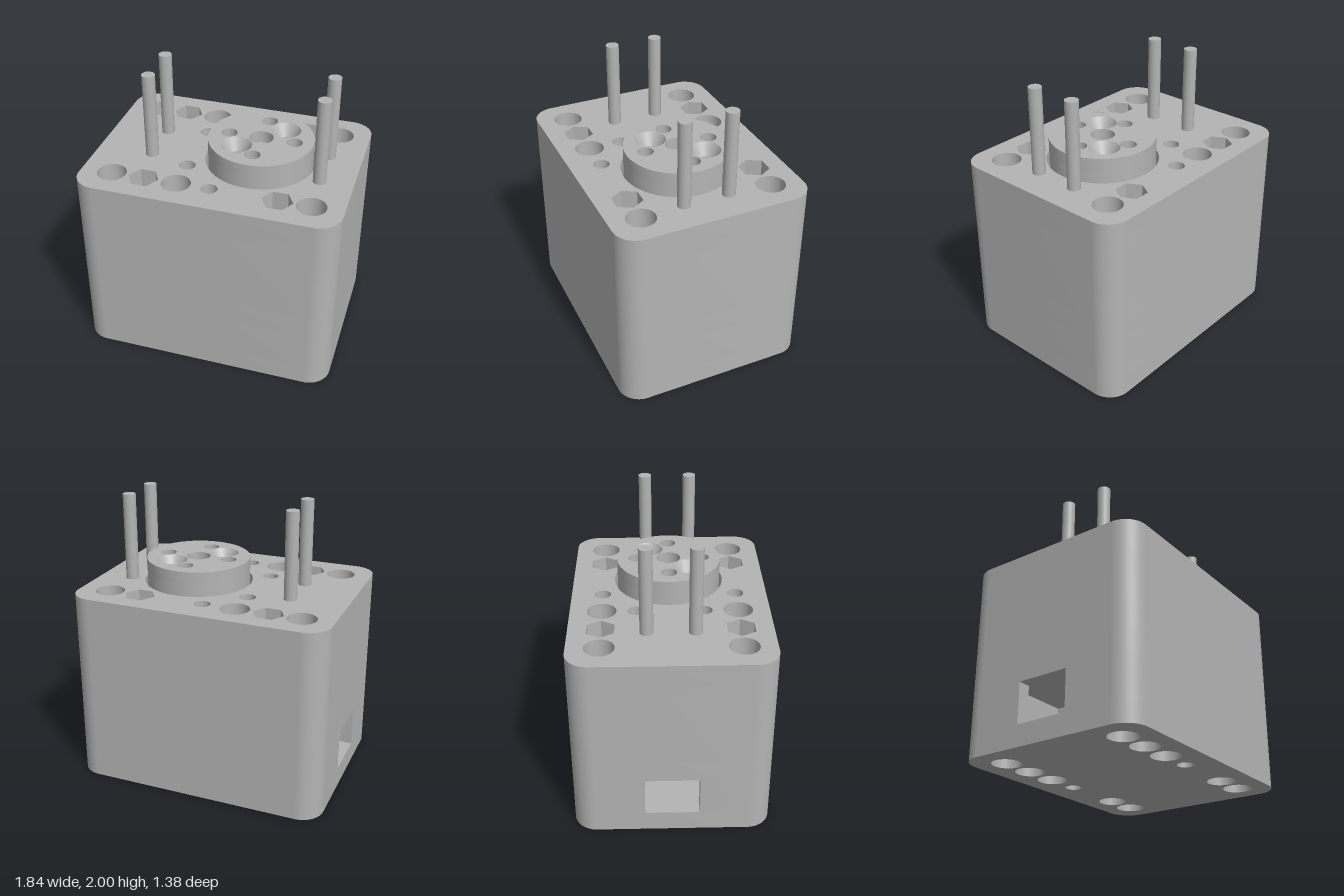
import * as THREE from 'three';
import { toCreasedNormals } from 'three/addons/utils/BufferGeometryUtils.js';

const W = 0.92, D = 0.69, R = 0.16;   // body half width, half depth, corner radius
const SHAFT_X = 0.23;

// Holes are drawn in plan: (x, z), with shape y = -z
const circle = (x, z, r) => new THREE.Path().absarc(x, -z, r, 0, Math.PI * 2, true);

function polygon(points) {
  return new THREE.Path(points.map(([x, z]) => new THREE.Vector2(x, -z)));
}

const rect = (x, z, hx, hz) =>
  polygon([[x - hx, z - hz], [x + hx, z - hz], [x + hx, z + hz], [x - hx, z + hz]]);

function hexagon(x, z, r) {
  const pts = [];
  for (let i = 0; i < 6; i++) {
    const a = i * Math.PI / 3;
    pts.push([x + r * Math.cos(a), z + r * Math.sin(a)]);
  }
  return polygon(pts);
}

// Rounded block outline, optionally notched on the -x side for the cable port
function outline(port) {
  const s = new THREE.Shape();
  s.moveTo(-W + R, -D);
  s.lineTo(W - R, -D);
  s.absarc(W - R, -D + R, R, -Math.PI / 2, 0, false);
  s.absarc(W - R, D - R, R, 0, Math.PI / 2, false);
  s.absarc(-W + R, D - R, R, Math.PI / 2, Math.PI, false);
  if (port) {
    for (const [x, y] of [[-W, 0.19], [-0.83, 0.19], [-0.83, 0.3], [-0.4, 0.3],
      [-0.4, -0.3], [-0.83, -0.3], [-0.83, -0.19], [-W, -0.19]]) s.lineTo(x, y);
  }
  s.absarc(-W + R, -D + R, R, Math.PI, Math.PI * 1.5, false);
  return s;
}

function slab(shape, holes, y0, y1) {
  shape.holes.push(...holes);
  const g = new THREE.ExtrudeGeometry(shape, { depth: y1 - y0, bevelEnabled: false, curveSegments: 24 });
  g.rotateX(-Math.PI / 2).translate(0, y0, 0);
  return toCreasedNormals(g, 0.6);
}

export function createModel() {
  const model = new THREE.Group();
  const grey = new THREE.MeshStandardMaterial({ color: 0xb4b4b4 });
  grey.name = 'plain grey';

  const add = (name, geometry, parent = model) => {
    const mesh = new THREE.Mesh(geometry, grey);
    mesh.name = name;
    parent.add(mesh);
    return mesh;
  };

  // Body: stacked slabs, the bolt holes changing shape from layer to layer
  const body = new THREE.Group();
  body.name = 'body';
  model.add(body);

  const bore = (x, z) => circle(x, z, 0.1);
  const bolt = (x, z) => circle(x, z, 0.058);
  const square = (x, z) => rect(x, z, 0.058, 0.058);
  const slot = (x, z) => rect(x, z, 0.058, 0.095);
  const nut = (x, z) => hexagon(x, z, 0.108);
  const layers = [
    { name: 'base', y0: 0, y1: 0.15, hole: bore },
    { name: 'portLayer', y0: 0.15, y1: 0.44, hole: bore, port: true },
    { name: 'lowerBlock', y0: 0.44, y1: 0.6, hole: bore },
    { name: 'upperBlock', y0: 0.6, y1: 1.16, hole: bolt },
    { name: 'squareSeat', y0: 1.16, y1: 1.19, hole: square },
    { name: 'slotSeat', y0: 1.19, y1: 1.22, hole: slot, pin: true },
    { name: 'topPlate', y0: 1.22, y1: 1.38, hole: nut, top: true },
  ];
  for (const { name, y0, y1, hole, port, pin, top } of layers) {
    const holes = [];
    for (const z of [-0.47, 0.47]) {
      for (const x of [-0.7, -0.235, 0.7]) holes.push(circle(x, z, 0.102));
      for (const x of [-0.47, 0.47]) holes.push(hole(x, z));
      holes.push(circle(0, z, 0.057));
      if (top) holes.push(circle(-0.235, z / 2, 0.058));
    }
    if (top) holes.push(circle(SHAFT_X, 0, 0.39));
    if (pin) holes.push(circle(0.48, 0, 0.035));
    add(name, slab(outline(port), holes, y0, y1), body);
  }

  // Output disc with bolt circle, shaft bore and two countersunk holes
  const disc = new THREE.Group();
  disc.name = 'outputDisc';
  model.add(disc);
  const sinks = [[0.37, -0.145], [0.092, 0.138]];
  const discLayer = (name, y0, y1, sinkRadius, shaftRadius) => {
    const shape = new THREE.Shape().absarc(SHAFT_X, 0, 0.37, 0, Math.PI * 2, false);
    const holes = [[0, 0], [0.466, 0], [SHAFT_X, -0.235], [SHAFT_X, 0.235]]
      .map(([x, z]) => circle(x, z, 0.056));
    holes.push(circle(SHAFT_X, 0, shaftRadius));
    for (const [x, z] of sinks) holes.push(circle(x, z, sinkRadius));
    add(name, slab(shape, holes, y0, y1), disc);
  };
  discLayer('discBase', 1.23, 1.46, 0.055, 0.04);
  discLayer('discRim', 1.46, 1.55, 0.106, 0.085);
  for (const [x, z] of sinks) {
    // Inward facing cone: the profile runs downwards
    const cone = new THREE.LatheGeometry(
      [new THREE.Vector2(0.106, 0.09), new THREE.Vector2(0.055, 0)], 48);
    add('countersink', cone, disc).position.set(x, 1.46, z);
  }

  // Four upright pins
  for (const x of [-0.52, 0.685]) {
    for (const z of [-0.163, 0.163]) {
      add('pin', new THREE.CylinderGeometry(0.046, 0.046, 0.72, 32)).position.set(x, 1.64, z);
    }
  }
  return model;
}
